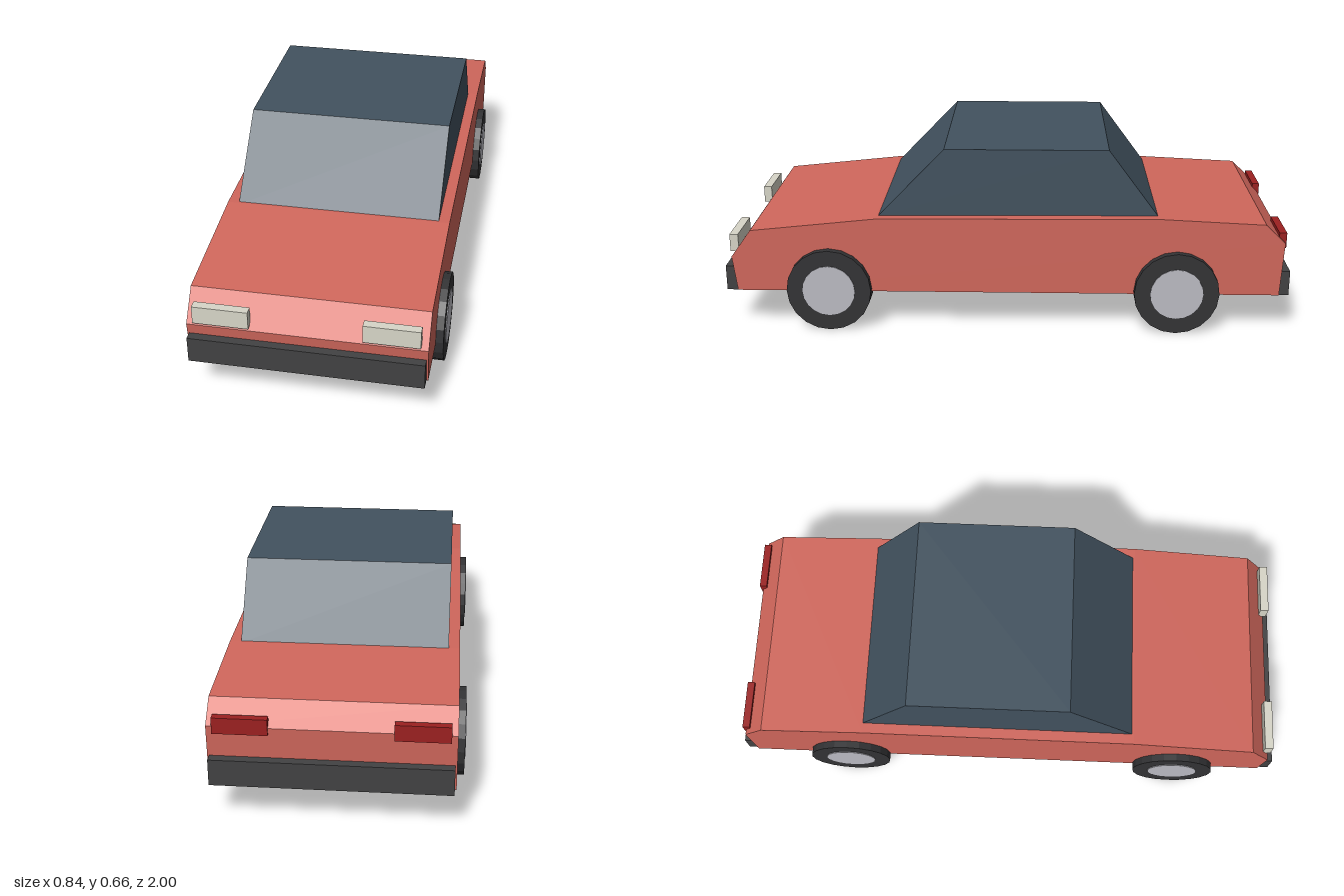
import * as THREE from 'three';

const material = (color) => new THREE.MeshStandardMaterial({ color, flatShading: true });

export function createModel() {
  const car = new THREE.Group();
  car.name = 'car';

  const paint = material(0xd1675c);
  const glass = material(0x42525f);
  const rubber = material(0x333335);
  const trim = material(0x424243);
  const metal = material(0xbcbcc4);
  const headlightColor = material(0xd8d6c8);
  const taillightColor = material(0x9c2020);

  const add = (name, geometry, mat, x = 0, y = 0, z = 0) => {
    const mesh = new THREE.Mesh(geometry, mat);
    mesh.name = name;
    mesh.position.set(x, y, z);
    car.add(mesh);
    return mesh;
  };

  // Side profile given as [z, y], extruded across the car's width
  const extrudeProfile = (points, halfWidth) => {
    const shape = new THREE.Shape(points.map(([z, y]) => new THREE.Vector2(-z, y)));
    return new THREE.ExtrudeGeometry(shape, { depth: halfWidth * 2, bevelEnabled: false })
      .translate(0, 0, -halfWidth)
      .rotateY(Math.PI / 2);
  };

  // Body shell with sloping hood and trunk
  add('body', extrudeProfile([
    [0.96, 0.14], [-0.965, 0.14], [-0.975, 0.335], [-0.905, 0.403],
    [-0.53, 0.421], [0.46, 0.413], [0.903, 0.366], [0.975, 0.267],
  ], 0.39), paint);

  // Glasshouse with raked windshield and rear window
  add('cabin', extrudeProfile([
    [0.46, 0.405], [-0.535, 0.415], [-0.355, 0.657], [0.217, 0.657],
  ], 0.352), glass);

  // Bumpers
  add('frontBumper', new THREE.BoxGeometry(0.768, 0.09, 0.04), trim, 0, 0.184, 0.98);
  add('rearBumper', new THREE.BoxGeometry(0.768, 0.09, 0.04), trim, 0, 0.184, -0.98);

  for (const [side, s] of [['left', 1], ['right', -1]]) {
    // Lights
    add(side + 'Headlight', new THREE.BoxGeometry(0.183, 0.063, 0.03), headlightColor, s * 0.275, 0.311, 0.968);
    add(side + 'Taillight', new THREE.BoxGeometry(0.175, 0.055, 0.026), taillightColor, s * 0.283, 0.34, -0.969);

    // Wheels, each a tire with a hubcap on the outer face
    for (const [end, z] of [['Front', 0.63], ['Rear', -0.602]]) {
      const tire = new THREE.CylinderGeometry(0.15, 0.15, 0.1, 20).rotateZ(Math.PI / 2);
      const hub = new THREE.CylinderGeometry(0.093, 0.093, 0.02, 20).rotateZ(Math.PI / 2);
      add(side + end + 'Tire', tire, rubber, s * 0.366, 0.151, z);
      add(side + end + 'Hubcap', hub, metal, s * 0.409, 0.151, z);
    }
  }

  return car;
}
